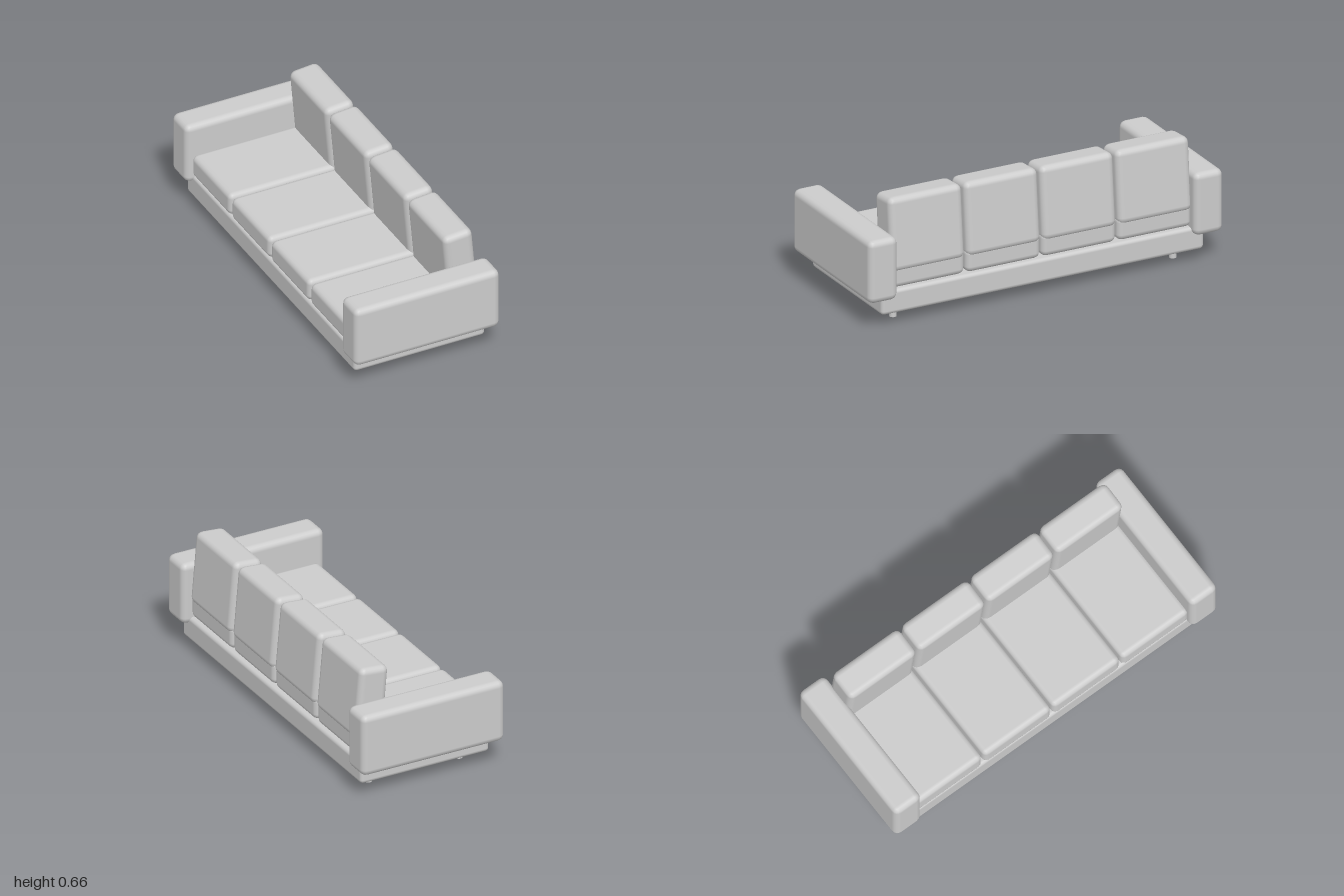
import * as THREE from 'three';
import { RoundedBoxGeometry } from 'three/addons/geometries/RoundedBoxGeometry.js';

const material = new THREE.MeshStandardMaterial({ color: 0xcccccc });

// Rounded block: size [x, y, z], centre [x, y, z], edge radius
function block(name, size, centre, radius) {
  const mesh = new THREE.Mesh(new RoundedBoxGeometry(...size, 2, radius), material);
  mesh.name = name;
  mesh.position.set(...centre);
  return mesh;
}

export function createModel() {
  const sofa = new THREE.Group();
  sofa.name = 'sofa';

  // Base platform
  sofa.add(block('base', [0.73, 0.127, 1.82], [0, 0.1235, 0], 0.02));

  // Four seat cushions and four leaning back cushions along z
  const pitch = 0.4275;
  for (let i = 0; i < 4; i++) {
    const z = (i - 1.5) * pitch;
    sofa.add(block('seatCushion', [0.722, 0.125, 0.418], [-0.009, 0.2495, z], 0.03));
    const back = block('backCushion', [0.163, 0.39, 0.415], [0.265, 0.463, z], 0.034);
    back.rotation.z = THREE.MathUtils.degToRad(5);
    sofa.add(back);
  }

  // Arms and legs, mirrored at both ends
  const legGeometry = new THREE.CylinderGeometry(0.019, 0.019, 0.07, 24);
  for (const side of [-1, 1]) {
    sofa.add(block('arm', [0.81, 0.337, 0.163], [0, 0.3175, side * 0.9185], 0.034));
    for (const x of [-0.257, 0.257]) {
      const leg = new THREE.Mesh(legGeometry, material);
      leg.name = 'leg';
      leg.position.set(x, 0.035, side * 0.79);
      sofa.add(leg);
    }
  }
  return sofa;
}
